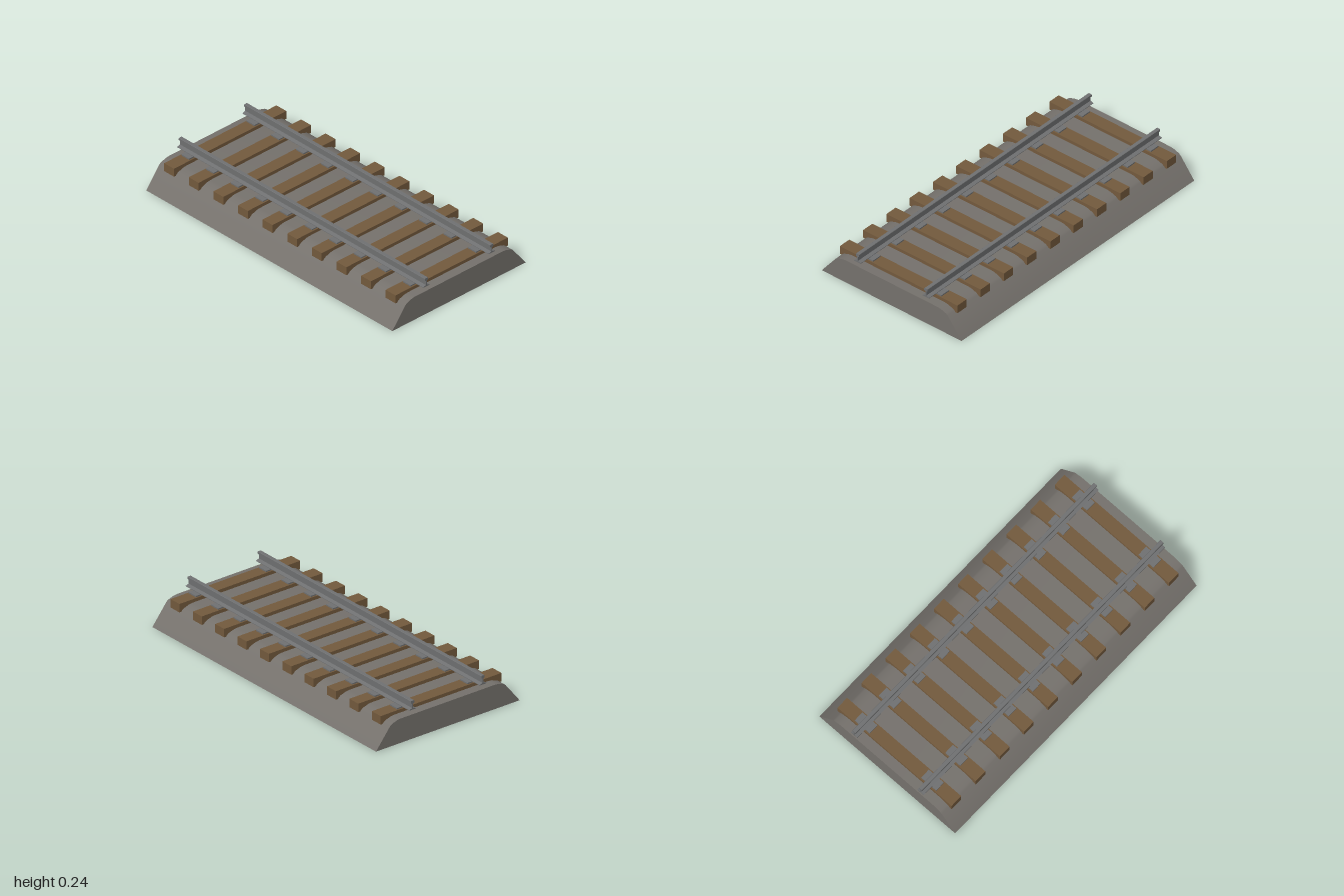
import * as THREE from 'three';
import { toCreasedNormals } from 'three/addons/utils/BufferGeometryUtils.js';

const LENGTH = 2;
const GAUGE_HALF = 0.252;
const SLEEPERS = 10;

function makeMaterial(name, color) {
  const material = new THREE.MeshStandardMaterial({ color });
  material.name = name;
  return material;
}

// Extrudes a left-right symmetric profile, given as its +x half from bottom to top, along z.
function extrudeProfile(half, crease) {
  const mirrored = half.map(([x, y]) => [-x, y]).reverse();
  const shape = new THREE.Shape([...half, ...mirrored].map(([x, y]) => new THREE.Vector2(x, y)));
  const geometry = new THREE.ExtrudeGeometry(shape, { depth: LENGTH, bevelEnabled: false });
  geometry.translate(0, 0, -LENGTH / 2);
  return toCreasedNormals(geometry, crease);
}

export function createModel() {
  const gravel = makeMaterial('gravel grey', 0x75716c);
  const wood = makeMaterial('sleeper brown', 0x735a3d);
  const steel = makeMaterial('rail steel', 0x6f7071);

  const model = new THREE.Group();
  model.name = 'railwayTrack';

  function add(name, geometry, material, x = 0, y = 0, z = 0) {
    const mesh = new THREE.Mesh(geometry, material);
    mesh.name = name;
    mesh.position.set(x, y, z);
    model.add(mesh);
  }

  // Ballast bed with sloped sides and softened shoulders
  add('ballastBed', extrudeProfile([
    [0.515, 0], [0.413, 0.128], [0.4, 0.137], [0.363, 0.149], [0.34, 0.152],
  ], 0.75), gravel);

  // Sleepers, each with a tie plate under both rails
  const sleeper = new THREE.BoxGeometry(0.866, 0.053, 0.08);
  const plate = new THREE.BoxGeometry(0.114, 0.008, 0.064);
  for (let i = 0; i < SLEEPERS; i++) {
    const z = -0.9 + i * 0.2;
    add('sleeper', sleeper, wood, 0, 0.1465, z);
    for (const side of [-1, 1]) {
      add('tiePlate', plate, steel, side * GAUGE_HALF, 0.177, z);
    }
  }

  // Rails: flat foot, thin web, wide head
  const rail = extrudeProfile([
    [0.024, 0.181], [0.024, 0.184], [0.003, 0.191],
    [0.003, 0.217], [0.012, 0.223], [0.012, 0.235], [0.01, 0.237],
  ], 0.3);
  for (const side of [-1, 1]) {
    add(side > 0 ? 'leftRail' : 'rightRail', rail, steel, side * GAUGE_HALF);
  }

  return model;
}
